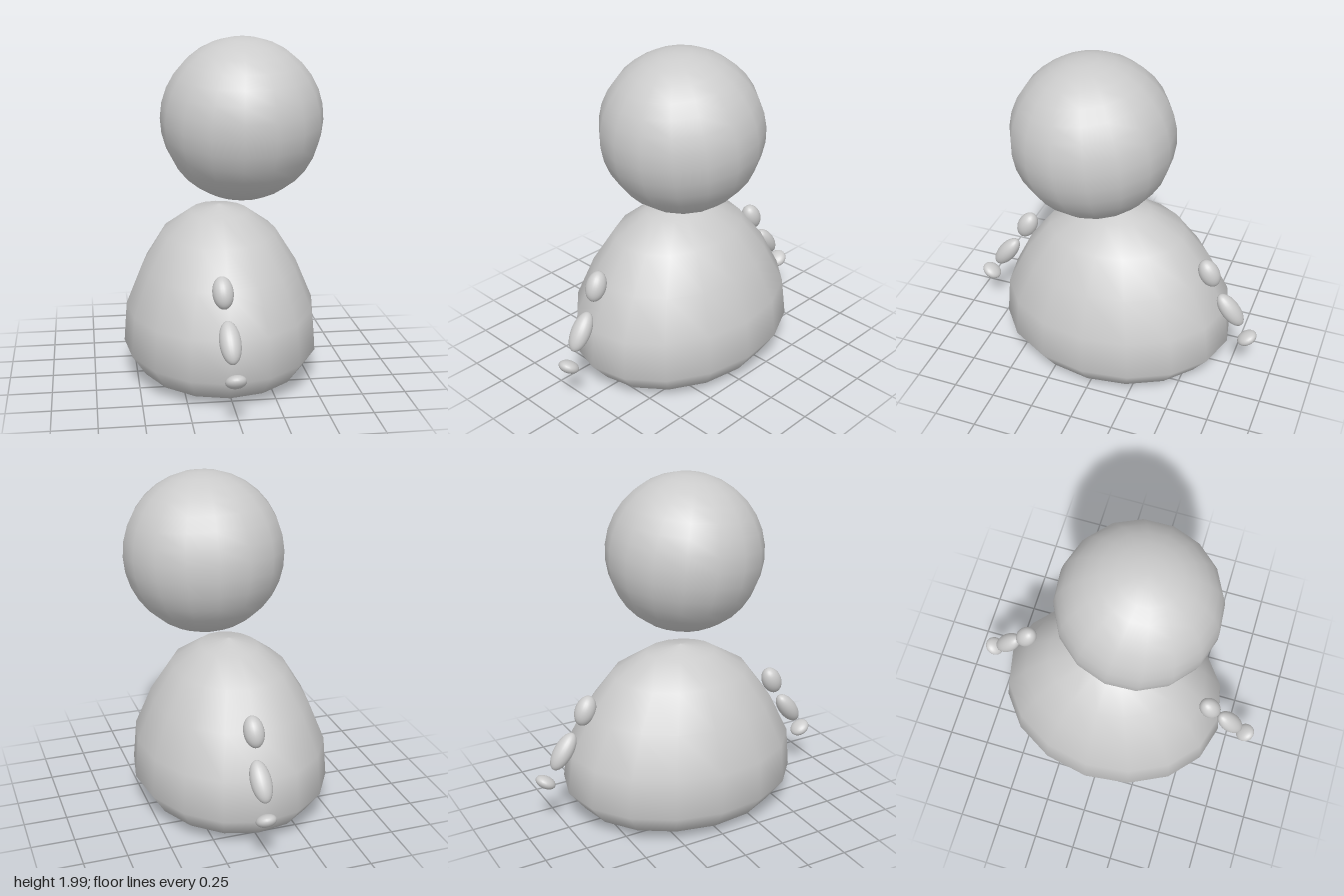
import * as THREE from 'three';

const material = new THREE.MeshStandardMaterial({ color: 0xcccccc });

function addMesh(parent, name, geometry, position, rotation, scale = [1, 1, 1]) {
  const mesh = new THREE.Mesh(geometry, material);
  mesh.name = name;
  mesh.position.set(...position);
  mesh.rotation.set(...rotation);
  mesh.scale.set(...scale);
  parent.add(mesh);
  return mesh;
}

export function createModel() {
  const model = new THREE.Group();
  model.name = 'figure';

  // Dome-shaped body with a rounded, nearly flat underside; longer front to back
  const profile = [
    [0, 0.01], [0.275, 0.028], [0.49, 0.078], [0.572, 0.205], [0.553, 0.438],
    [0.456, 0.673], [0.332, 0.873], [0.17, 0.99], [0, 1.03],
  ].map(([r, y]) => new THREE.Vector2(r, y));
  addMesh(model, 'body', new THREE.LatheGeometry(profile, 16),
    [0.002, 0, -0.024], [0.02, -0.04, 0.01], [1, 1, 1.24]);

  // Low-poly round head, floating above the body and leaning slightly forward
  addMesh(model, 'head', new THREE.SphereGeometry(0.462, 16, 16),
    [0.11, 1.54, 0.09], [0.12, -0.11, 0]);

  // Arms of three separate ovals, one chain at the front and one at the back
  const oval = new THREE.SphereGeometry(1, 24, 16);
  const sizes = {
    upperArm: [0.058, 0.09, 0.06],
    forearm: [0.059, 0.12, 0.055],
    hand: [0.058, 0.036, 0.062],
  };
  // Tilt away from the body, mirrored for the back arm
  const tilts = { upperArm: -0.44, forearm: -0.63, hand: -0.56 };
  const arms = [
    { name: 'frontArm', side: 1, centers: {
      upperArm: [-0.065, 0.685, 0.605], forearm: [-0.045, 0.455, 0.747], hand: [-0.03, 0.28, 0.86] } },
    { name: 'backArm', side: -1, centers: {
      upperArm: [0.047, 0.715, -0.598], forearm: [0.055, 0.485, -0.74], hand: [0.065, 0.31, -0.855] } },
  ];
  for (const { name, side, centers } of arms) {
    const arm = new THREE.Group();
    arm.name = name;
    for (const part of Object.keys(sizes)) {
      addMesh(arm, part, oval, centers[part], [side * tilts[part], 0, 0.06 * side], sizes[part]);
    }
    model.add(arm);
  }

  return model;
}
